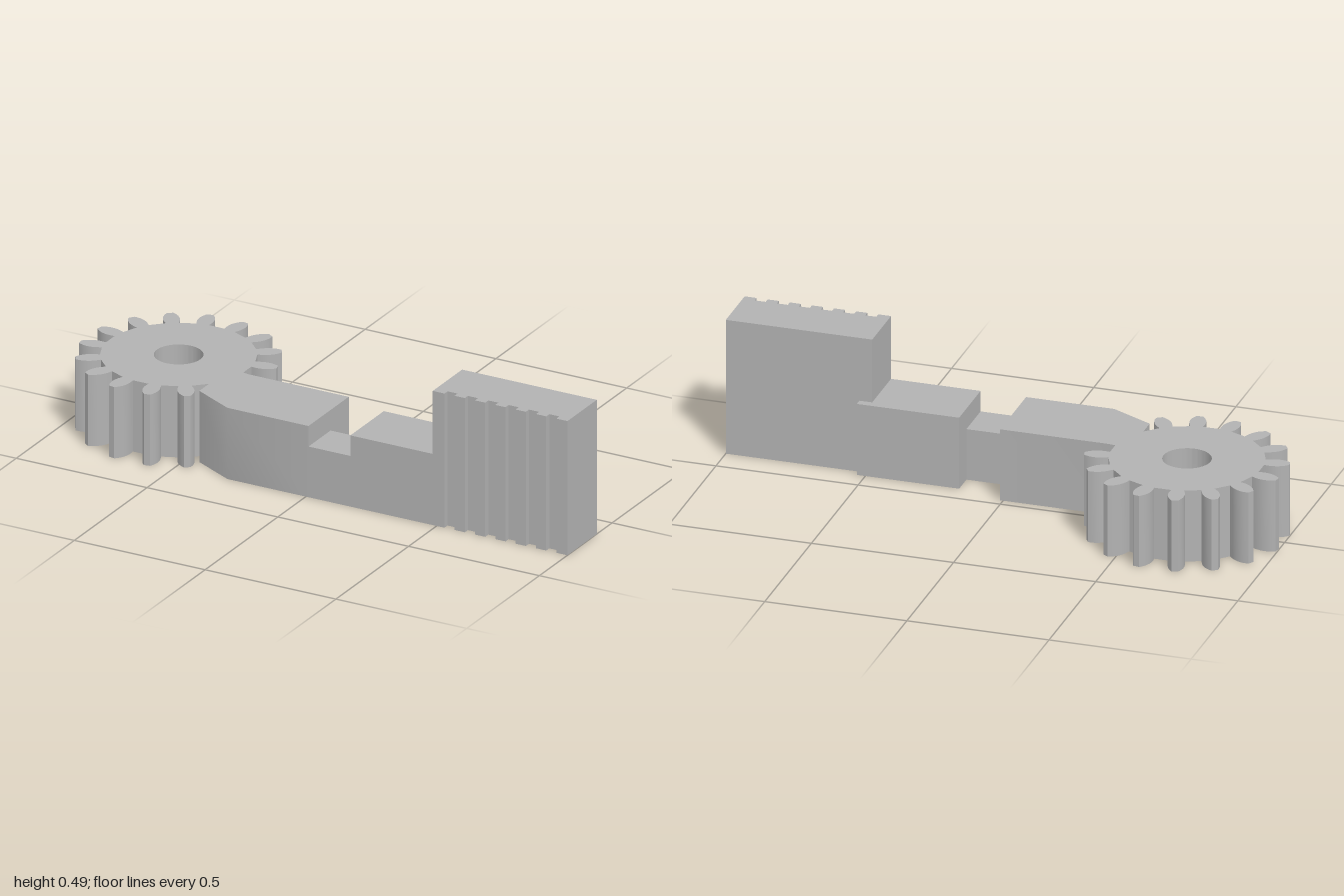
import * as THREE from 'three';
import { toCreasedNormals } from 'three/addons/utils/BufferGeometryUtils.js';

const steel = new THREE.MeshStandardMaterial({ color: 0xb2b2b2 });
steel.name = 'grey';

// Plan outlines are given as [x, z] and raised from the ground to a height.
function outline(points) {
  return new THREE.Shape(points.map(([x, z]) => new THREE.Vector2(x, -z)));
}

function raise(name, shape, height) {
  const solid = new THREE.ExtrudeGeometry(shape, { depth: height, bevelEnabled: false, curveSegments: 40 });
  solid.rotateX(-Math.PI / 2);
  const mesh = new THREE.Mesh(toCreasedNormals(solid, 0.5), steel);
  mesh.name = name;
  return mesh;
}

function gearShape() {
  const teeth = 16, root = 0.262;
  // Flank of one tooth as [radius, half width]
  const flank = new THREE.SplineCurve([
    [root, 0.022], [0.282, 0.027], [0.305, 0.028], [0.328, 0.022], [0.346, 0.011],
  ].map(([r, w]) => new THREE.Vector2(r, w))).getPoints(8);
  const points = [];
  for (let i = 0; i < teeth; i++) {
    const angle = ((i + 0.5) / teeth) * Math.PI * 2;
    // The last two teeth are replaced by the arm
    const side = i < teeth - 2 ? flank : flank.slice(0, 1);
    const add = (p, sign) => points.push(
      new THREE.Vector2(p.x, sign * p.y).rotateAround(new THREE.Vector2(), angle));
    side.forEach((p) => add(p, -1));
    [...side].reverse().forEach((p) => add(p, 1));
  }
  const shape = new THREE.Shape(points);
  shape.holes.push(new THREE.Path().absarc(0, 0, 0.083, 0, Math.PI * 2, true));
  return shape;
}

export function createModel() {
  const group = new THREE.Group();
  const front = 0.307, low = 0.26;

  const gear = raise('gear', gearShape(), low);
  gear.position.x = -0.657;
  group.add(gear);

  // Arm with its chamfered corner beside the gear
  group.add(raise('arm', outline([
    [-0.405, 0.025], [-0.37, 0.03], [0.01, 0.03], [0.01, front], [-0.3, front], [-0.45, 0.23], [-0.45, 0.16],
  ]), low));

  // Narrow, lowered neck
  group.add(raise('neck', outline([
    [0.01, 0.155], [0.17, 0.155], [0.17, front], [0.01, front],
  ]), 0.185));

  // Block that wraps round the back of the rack
  group.add(raise('block', outline([
    [0.17, 0.077], [0.53, 0.077], [0.53, 0.105], [0.485, 0.105], [0.485, front], [0.17, front],
  ]), low));

  // Tall rack with vertical grooves cut in its front
  const rack = [[1, front], [1, 0.105], [0.485, 0.105], [0.485, front]];
  for (let i = 0; i < 6; i++) {
    const x = 0.53 + i * 0.0778, end = x + 0.0385, deep = front - 0.021;
    rack.push([x, front], [x, deep], [end, deep], [end, front]);
  }
  group.add(raise('rack', outline(rack), 0.49));

  return group;
}
